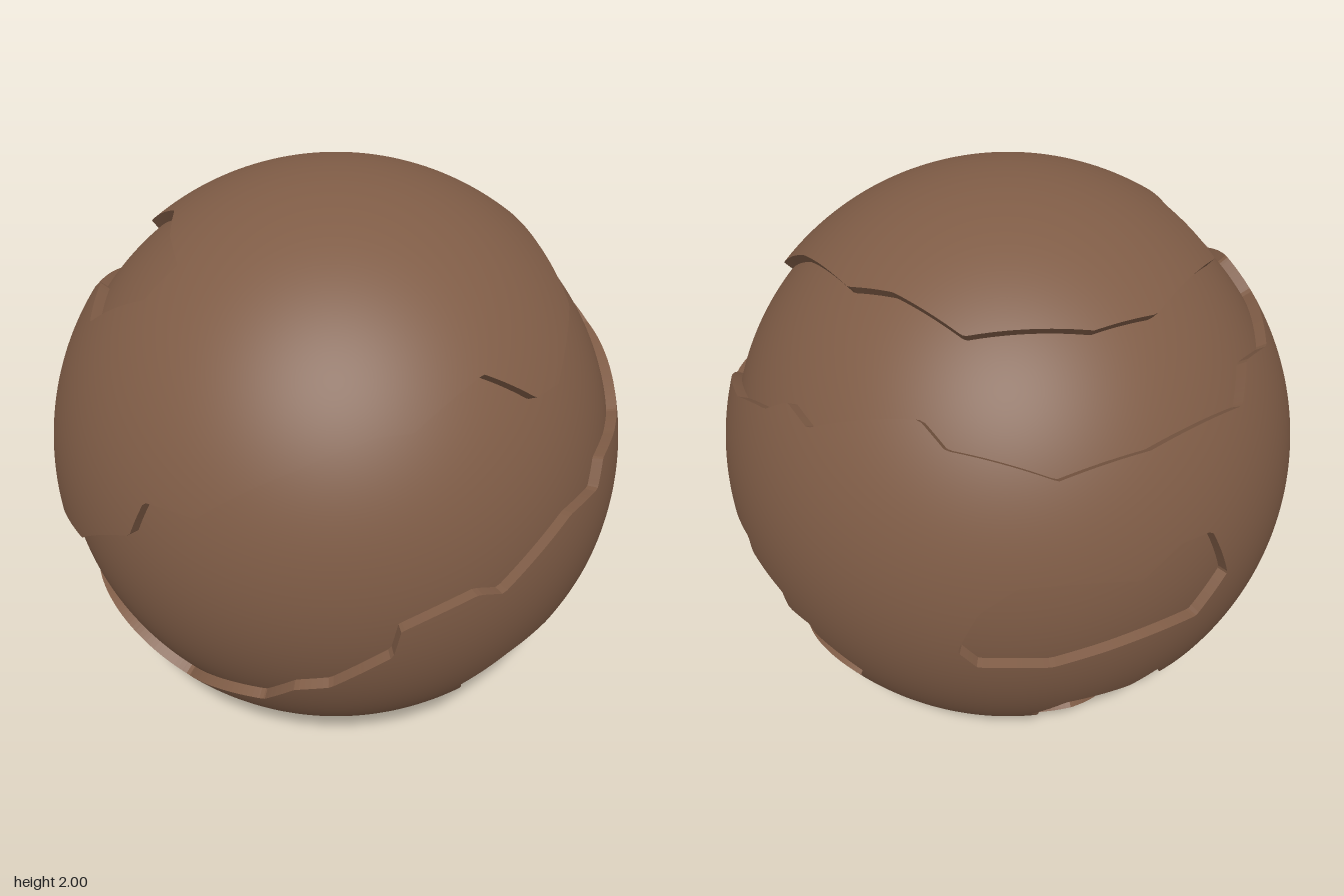
import * as THREE from 'three';

const FLOOR = 0.965; // radius of the sunken ground, the crust has radius 1

// Points drawn on a flat plane facing (azimuth, elevation), lifted onto the unit sphere
function lift(azimuth, elevation, points) {
  const a = THREE.MathUtils.degToRad(azimuth), e = THREE.MathUtils.degToRad(elevation);
  const out = new THREE.Vector3(Math.sin(a) * Math.cos(e), Math.sin(e), Math.cos(a) * Math.cos(e));
  const right = new THREE.Vector3(Math.cos(a), 0, -Math.sin(a));
  const up = new THREE.Vector3().crossVectors(out, right);
  return points.map(([u, v]) => new THREE.Vector3()
    .addScaledVector(right, u).addScaledVector(up, v)
    .addScaledVector(out, Math.sqrt(Math.max(0, 1 - u * u - v * v))).normalize());
}
const onFront = (p) => lift(0, 0, p);
const onSide = (p) => lift(90, 0, p);
const onTop = (p) => lift(0, 90, p);
const onBackLeft = (p) => lift(215, 25, p);
const onBackBelow = (p) => lift(140, -30, p);

// Long spiral canyon: lower rim from the crown round to the back, then upper rim home again
const canyon = [
  ...onTop([[-.59, -.02], [-.7, 0], [-.785, .245], [-.67, .4], [-.65, .53], [-.43, .75], [-.24, .8],
    [-.13, .875], [.26, .84], [.52, .73], [.71, .48], [.72, .385], [.88, .065]]),
  ...onSide([[-.05, .5], [-.15, .44], [-.37, .37], [-.72, .23]]),
  ...onFront([[.55, .22], [.42, .21], [.37, .13], [.2, .13], [-.08, -.03], [-.17, 0], [-.4, -.08],
    [-.41, -.19], [-.55, -.34], [-.63, -.37], [-.67, -.49], [-.77, -.6]]),
  ...onBackLeft([[.386, -.74], [.155, -.765], [-.016, -.858], [-.15, -.66], [-.016, -.595], [.461, -.54],
    [.692, -.364], [.82, -.28]]),
  ...onFront([[-.95, .12], [-.91, .25], [-.83, .255], [-.6, .43], [-.39, .51], [-.3, .51], [-.04, .61],
    [.12, .51], [.23, .51]]),
  ...onSide([[-.62, .63], [-.4, .75], [-.05, .79], [.11, .815], [.37, .76], [.6, .76]]),
  ...onTop([[.04, .655], [-.15, .61], [-.41, .53], [-.43, .3], [-.53, .14]]),
];

// Low basin on the front and right side
const basin = [
  ...onFront([[.67, -.25], [.42, -.25], [.23, -.36], [.05, -.4], [-.09, -.51], [-.04, -.6], [-.1, -.72],
    [.05, -.8], [.25, -.8], [.43, -.71], [.5, -.73], [.56, -.66], [.62, -.68], [.72, -.61]]),
  ...onSide([[-.04, -.52], [.15, -.52], [.23, -.4], [.08, -.3], [.07, -.25], [-.04, -.25], [-.04, -.17],
    [-.23, -.125], [-.23, -.06], [-.35, -.065]]),
];

// Small hollow on the back
const hollow = onBackBelow([[-.225, .386], [-.16, .536], [-.048, .617], [.32, .563], [.44, .6], [.547, .563],
  [.625, .37], [.525, .295], [.22, .35], [.06, .327], [-.165, .327]]);

// Lower hollow under the back
const pit = onBackBelow([[.016, -.086], [.123, .043], [.343, .005], [.445, .048], [.45, -.032], [.697, -.193],
  [.708, -.29], [.79, -.375], [.64, -.6], [.55, -.665], [.354, -.504], [.17, -.28], [.059, -.311]]);

// Flatten the sphere from its south pole, so that outlines become plane polygons
const flatten = (p) => [p.x / (1 + p.y + 1e-4), p.z / (1 + p.y + 1e-4)];
const outlines = [canyon, basin, hollow, pit].map((o) => o.map(flatten));

// Signed distance to one outline, positive inside
function insideBy(x, y, outline) {
  let best = Infinity, inside = false;
  for (let i = 0, j = outline.length - 1; i < outline.length; j = i++) {
    const [ax, ay] = outline[j], [bx, by] = outline[i];
    const dx = bx - ax, dy = by - ay;
    const t = Math.min(1, Math.max(0, ((x - ax) * dx + (y - ay) * dy) / (dx * dx + dy * dy)));
    best = Math.min(best, Math.hypot(x - ax - t * dx, y - ay - t * dy));
    if ((ay > y) !== (by > y) && x < ax + ((y - ay) / dy) * dx) inside = !inside;
  }
  return inside ? best : -best;
}
function sunken(p) {
  const [x, y] = flatten(p);
  return Math.max(...outlines.map((o) => insideBy(x, y, o)));
}

// Round parts take their normals straight from the sphere, walls stay flat
function buildMesh(name, triangles, material, round) {
  const geometry = new THREE.BufferGeometry();
  geometry.setAttribute('position', new THREE.Float32BufferAttribute(triangles, 3));
  geometry.computeVertexNormals();
  if (round) {
    geometry.setAttribute('normal', geometry.attributes.position.clone());
    geometry.normalizeNormals();
  }
  const mesh = new THREE.Mesh(geometry, material);
  mesh.name = name;
  mesh.position.y = 1;
  return mesh;
}

export function createModel() {
  const rock = new THREE.MeshStandardMaterial({ color: 0x7f5c46 });
  rock.name = 'brown rock';
  const crust = [], floor = [], walls = [];
  const put = (list, p, r) => list.push(p.x * r, p.y * r, p.z * r);
  const fan = (list, points, r) => {
    for (let i = 2; i < points.length; i++) [points[0], points[i - 1], points[i]].forEach((p) => put(list, p, r));
  };

  // Cut every triangle of a fine ball along the outlines
  const ball = new THREE.IcosahedronGeometry(1, 59).getAttribute('position');
  for (let f = 0; f < ball.count; f += 3) {
    const corners = [0, 1, 2].map((k) => new THREE.Vector3().fromBufferAttribute(ball, f + k).normalize());
    const depth = corners.map(sunken);
    const low = [], high = [];
    let leave = null, enter = null;
    for (let k = 0; k < 3; k++) {
      const n = (k + 1) % 3, isLow = depth[k] > 0;
      (isLow ? low : high).push(corners[k]);
      if (isLow !== depth[n] > 0) {
        const cut = corners[k].clone().lerp(corners[n], depth[k] / (depth[k] - depth[n])).normalize();
        low.push(cut);
        high.push(cut);
        if (isLow) leave = cut; else enter = cut;
      }
    }
    fan(crust, high, 1);
    fan(floor, low, FLOOR);
    // Step between crust and floor, facing the sunken side
    if (leave) {
      put(walls, leave, FLOOR); put(walls, leave, 1); put(walls, enter, 1);
      put(walls, leave, FLOOR); put(walls, enter, 1); put(walls, enter, FLOOR);
    }
  }

  const group = new THREE.Group();
  group.name = 'crackedPlanet';
  group.add(
    buildMesh('crust', crust, rock, true),
    buildMesh('canyonFloors', floor, rock, true),
    buildMesh('canyonWalls', walls, rock, false),
  );
  return group;
}
